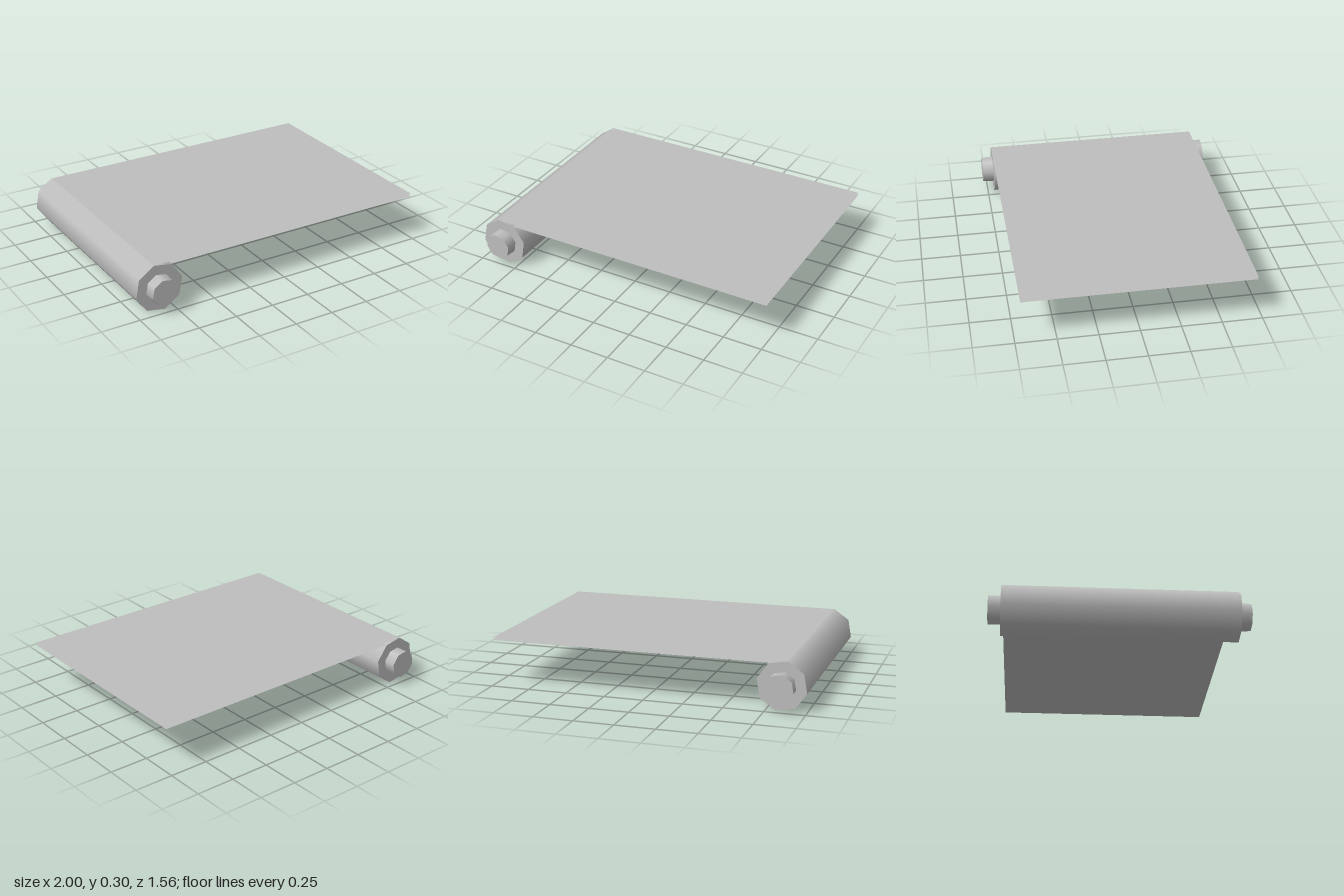
import * as THREE from 'three';

export function createModel() {
  const model = new THREE.Group();
  const grey = new THREE.MeshStandardMaterial({ color: 0xbebebe });
  grey.name = 'grey';
  const sheetGrey = grey;
  sheetGrey.side = THREE.DoubleSide;

  const axis = { x: -0.846, y: 0.157 };
  const turn = THREE.MathUtils.degToRad(12.5);

  function add(name, geometry, x, y, z) {
    const mesh = new THREE.Mesh(geometry, grey);
    mesh.name = name;
    mesh.position.set(x, y, z);
    model.add(mesh);
  }

  // Eight-sided prism lying along z
  function prism(frontRadius, backRadius, length) {
    return new THREE.CylinderGeometry(frontRadius, backRadius, length, 8)
      .rotateX(Math.PI / 2)
      .rotateZ(turn);
  }

  // Rolled-up end of the sheet
  add('roll', prism(0.156, 0.156, 1.415), axis.x, axis.y, 0);

  // Core ends, tapering slightly outward
  add('frontCoreEnd', prism(0.084, 0.09, 0.08), axis.x, axis.y, 0.74);
  add('backCoreEnd', prism(0.088, 0.09, 0.08), axis.x, axis.y, -0.744);

  // Flat sheet: upper and lower faces, open at the edges
  const sheetFace = (name, startX, y, facing) => {
    const width = 1 - startX;
    const geometry = new THREE.PlaneGeometry(width, 1.415).rotateX(-facing * Math.PI / 2);
    add(name, geometry, startX + width / 2, y, 0);
  };
  sheetFace('sheetTop', -0.88, 0.309, 1);
  sheetFace('sheetUnderside', -0.765, 0.292, -1);

  return model;
}
